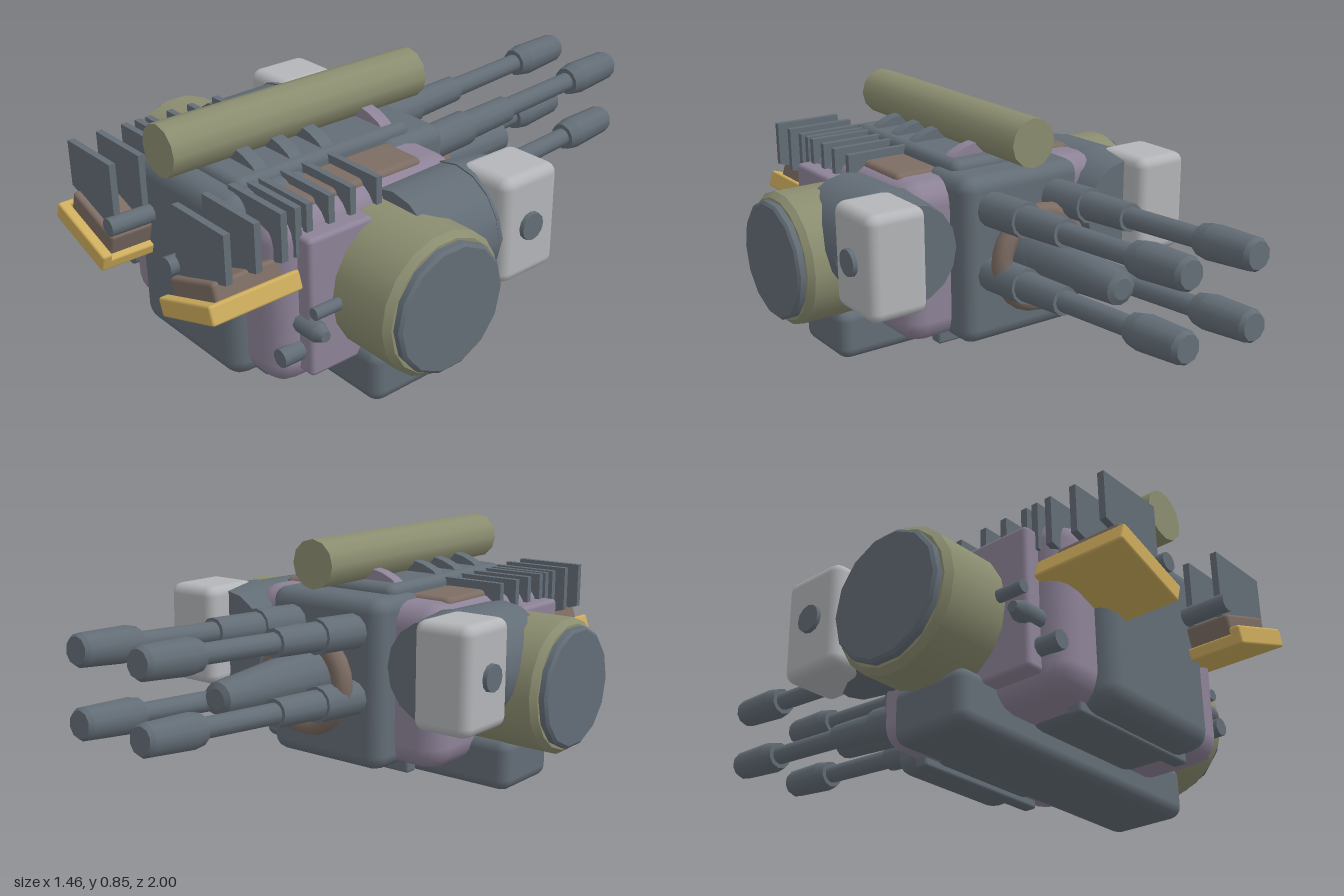
import * as THREE from 'three';
import { RoundedBoxGeometry } from 'three/addons/geometries/RoundedBoxGeometry.js';

const mat = (name, color) => {
  const m = new THREE.MeshStandardMaterial({ color });
  m.name = name;
  return m;
};

export function createModel() {
  const steel = mat('steel', 0x636d76);
  const olive = mat('olive', 0x8b8d70);
  const purple = mat('purple', 0x8d8297);
  const brown = mat('brown', 0x7c6c63);
  const yellow = mat('yellow', 0xcdac5c);
  const pale = mat('pale grey', 0xb3b5b8);

  const model = new THREE.Group();
  model.name = 'gunTurret';

  const add = (name, geo, material, x = 0, y = 0, z = 0, parent = model) => {
    const m = new THREE.Mesh(geo, material);
    m.name = name;
    m.position.set(x, y, z);
    parent.add(m);
    return m;
  };
  // rounded box given by its limits
  const box = (name, material, [x0, x1], [y0, y1], [z0, z1], r = 0.02, parent = model) =>
    add(name, new RoundedBoxGeometry(x1 - x0, y1 - y0, z1 - z0, 2, r), material,
      (x0 + x1) / 2, (y0 + y1) / 2, (z0 + z1) / 2, parent);
  // cylinders lying along z (r0 at the low z end) or x (r0 at the low x end)
  const rodZ = (name, material, r0, r1, x, y, z0, z1, sides = 12, parent = model) => {
    const g = new THREE.CylinderGeometry(r1, r0, z1 - z0, sides).rotateX(Math.PI / 2);
    return add(name, g, material, x, y, (z0 + z1) / 2, parent);
  };
  const rodX = (name, material, r0, r1, x0, x1, y, z, sides = 16, parent = model) => {
    const g = new THREE.CylinderGeometry(r1, r0, x1 - x0, sides).rotateZ(-Math.PI / 2);
    return add(name, g, material, (x0 + x1) / 2, y, z, parent);
  };

  // hull and base
  box('base', steel, [-0.55, 0.55], [0, 0.18], [0.24, 0.52], 0.04);
  box('hull', purple, [-0.41, 0.41], [0.085, 0.645], [0.03, 0.77], 0.08);
  box('frontBlock', steel, [-0.26, 0.26], [0.07, 0.67], [0.48, 0.82], 0.06);
  box('rearBlock', steel, [-0.24, 0.24], [0.08, 0.665], [-0.06, 0.2], 0.05);
  box('topDeck', steel, [-0.2, 0.2], [0.4, 0.695], [0.06, 0.74], 0.03);
  for (const z of [0.09, 0.69])
    box('bottomBar', steel, [-0.27, 0.27], [0.058, 0.12], [z - 0.025, z + 0.025], 0.01);

  // top tube and its saddles
  rodZ('topTube', olive, 0.084, 0.084, 0, 0.768, -0.11, 0.87, 12);
  [[0.14, purple], [0.38, steel], [0.5, steel], [0.63, steel]].forEach(([z, m]) => {
    const arch = new THREE.CylinderGeometry(0.19, 0.19, 0.045, 20).rotateX(Math.PI / 2);
    add('tubeSaddle', arch, m, 0, 0.66, z).scale.y = 0.42;
  });

  // four stepped barrels, tilted slightly up
  const barrel = (x, y, tilt) => {
    const g = new THREE.Group();
    g.name = 'barrel';
    g.position.set(x, y, 0);
    g.rotation.x = tilt;
    model.add(g);
    rodZ('breech', steel, 0.06, 0.06, 0, 0, -0.25, 0.1, 12, g);
    rodZ('sleeve', steel, 0.047, 0.05, 0, 0, -0.45, -0.25, 12, g);
    rodZ('barrelTube', steel, 0.033, 0.035, 0, 0, -0.78, -0.45, 12, g);
    rodZ('muzzleCollar', steel, 0.058, 0.05, 0, 0, -0.82, -0.775, 10, g);
    rodZ('muzzle', steel, 0.052, 0.058, 0, 0, -0.985, -0.82, 10, g);
    rodZ('muzzleTip', steel, 0.043, 0.052, 0, 0, -1.0, -0.985, 10, g);
  };
  for (const s of [-1, 1]) {
    barrel(s * 0.13, 0.55, 0.063);
    barrel(s * 0.13, 0.324, 0.07);
  }

  // central cannon with its ring
  rodZ('centreCannon', steel, 0.055, 0.088, 0, 0, -0.56, -0.18, 12).position.y = 0.403;
  rodZ('centreCannonTip', steel, 0.035, 0.055, 0, 0.403, -0.57, -0.56, 12);
  rodZ('centreBreech', steel, 0.088, 0.1, 0, 0.4, -0.18, 0, 12);
  add('cannonRing', new THREE.TorusGeometry(0.155, 0.035, 8, 24), brown, 0, 0.385, -0.145);

  // everything that repeats on both sides
  const fin = new THREE.Shape([[0.17, 0.46], [0.42, 0.53], [0.42, 0.685], [0.17, 0.685]]
    .map(([x, y]) => new THREE.Vector2(x, y)));
  const finGeo = new THREE.ExtrudeGeometry(fin, { depth: 0.022, bevelEnabled: false });
  const mirroredFin = new THREE.ExtrudeGeometry(
    new THREE.Shape(fin.getPoints().map(p => new THREE.Vector2(-p.x, p.y))),
    { depth: 0.022, bevelEnabled: false });

  for (const s of [-1, 1]) {
    const span = (a, b) => (s > 0 ? [a, b] : [-b, -a]);
    const outRod = (name, m, rIn, rOut, a, b, y, z, sides) =>
      rodX(name, m, s > 0 ? rIn : rOut, s > 0 ? rOut : rIn, ...span(a, b), y, z, sides);

    // side drum
    outRod('drum', olive, 0.23, 0.23, 0.4, 0.68, 0.37, 0.38, 18);
    outRod('drumEdge', olive, 0.23, 0.212, 0.68, 0.7, 0.37, 0.38, 18);
    outRod('drumCap', steel, 0.205, 0.205, 0.69, 0.72, 0.37, 0.38, 14);
    outRod('drumCapEdge', steel, 0.205, 0.195, 0.72, 0.728, 0.37, 0.38, 14);

    // shoulder housing and pod
    rodZ('shoulder', steel, 0.17, 0.19, s * 0.445, 0.455, -0.06, 0.1, 16);
    rodZ('shoulderRear', steel, 0.19, 0.185, s * 0.445, 0.45, 0.1, 0.36, 16);
    box('pod', pale, span(0.435, 0.645), [0.29, 0.645], [-0.15, 0.088], 0.035);
    outRod('podKnob', steel, 0.05, 0.045, 0.6, 0.66, 0.47, -0.025, 12);

    // side panel, rods and pegs
    box('sidePanel', purple, span(0.39, 0.465), [0.14, 0.595], [0.45, 0.69], 0.015);
    outRod('sideRod', steel, 0.032, 0.032, 0.4, 0.49, 0.305, 0.68, 8);
    outRod('sideRodTip', steel, 0.032, 0.018, 0.49, 0.52, 0.305, 0.68, 8);
    rodZ('sidePeg', steel, 0.02, 0.02, s * 0.49, 0.375, 0.55, 0.7, 10);
    rodZ('lowerPeg', steel, 0.03, 0.03, s * 0.41, 0.215, 0.66, 0.765, 10);
    rodZ('upperPeg', steel, 0.03, 0.03, s * 0.16, 0.49, 0.68, 0.97, 10);
    box('rearLug', steel, span(0.19, 0.26), [0.2, 0.56], [0.045, 0.1], 0.012);

    // inset panel on the hull roof
    box('roofPanel', brown, span(0.19, 0.36), [0.58, 0.657], [0.16, 0.7], 0.02);

    // slanted tray with a brown block on it
    const tray = new THREE.Group();
    tray.name = 'tray';
    tray.position.set(s * 0.295, 0.415, 0);
    tray.rotation.z = s * 0.325;
    model.add(tray);
    box('trayFloor', yellow, [-0.14, 0.14], [-0.03, 0.01], [0.69, 1.0], 0.008, tray);
    box('trayLip', yellow, [-0.14, 0.14], [-0.028, 0.03], [0.965, 1.0], 0.008, tray);
    box('trayRim', yellow, s > 0 ? [0.118, 0.14] : [-0.14, -0.118], [-0.028, 0.03], [0.69, 1.0], 0.008, tray);
    box('trayBlock', brown, [-0.118, 0.118], [0, 0.08], [0.5, 0.962], 0.012, tray);

    // cooling fins
    for (const z of [0.39, 0.49, 0.57, 0.65, 0.69, 0.74, 0.83, 0.93])
      add('coolingFin', s > 0 ? finGeo : mirroredFin, steel, 0, 0, z - 0.011);
  }
  return model;
}
